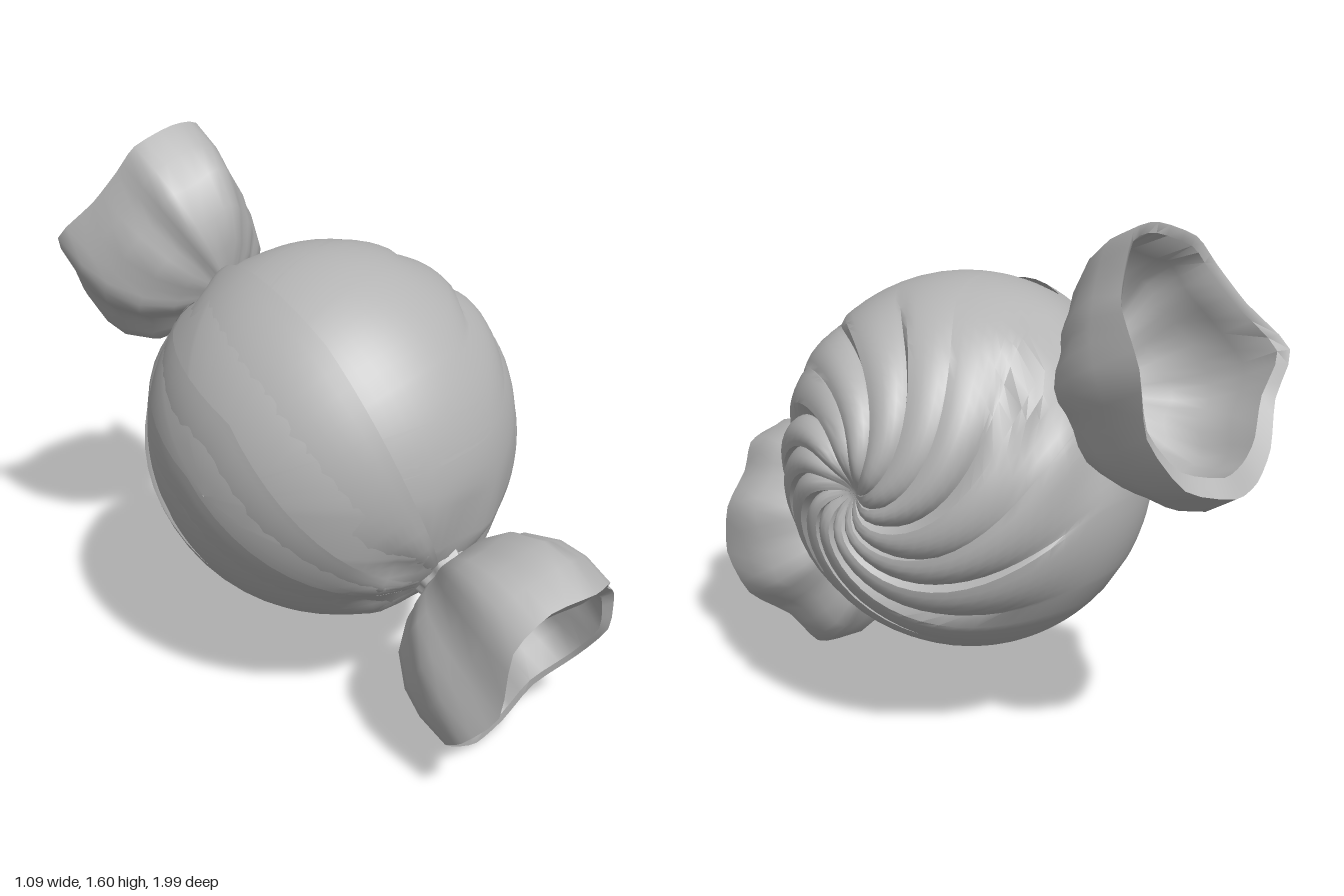
import * as THREE from 'three';
import { toCreasedNormals } from 'three/addons/utils/BufferGeometryUtils.js';

const CENTRE = new THREE.Vector3(0, 0.805, 0);
const RADII = new THREE.Vector3(0.535, 0.555, 0.555);
const KNOT = new THREE.Vector3(0, -0.56, 0.83).normalize(); // from centre to front knot
const UP = new THREE.Vector3(0, 0.83, 0.56).normalize();    // square to the knot axis

// Surface from a grid of points; rows run outward, columns anticlockwise
function gridGeometry(rows, cols, closed, point) {
  const pos = [], idx = [], n = closed ? cols : cols + 1;
  for (let i = 0; i <= rows; i++)
    for (let j = 0; j < n; j++) pos.push(...point(i, j).toArray());
  for (let i = 0; i < rows; i++)
    for (let j = 0; j < cols; j++) {
      const k = (j + 1) % n;
      const a = i * n + j, b = (i + 1) * n + j, c = (i + 1) * n + k, d = i * n + k;
      idx.push(a, b, c, a, c, d);
    }
  const g = new THREE.BufferGeometry();
  g.setAttribute('position', new THREE.Float32BufferAttribute(pos, 3));
  g.setIndex(idx);
  g.computeVertexNormals();
  return g;
}

// Point on the ball in a direction, with soft gathers around both knots
function onBall(dir, lift) {
  const lon = Math.atan2(dir.dot(UP), -dir.x);
  const away = Math.acos(Math.min(1, Math.abs(dir.dot(KNOT))));
  const gather = 0.012 * Math.cos(6 * lon + Math.sin(2 * lon))
    * Math.exp(-(((away - 0.38) / 0.14) ** 2));
  return dir.clone().multiply(RADII).multiplyScalar(1 + (lift + gather) / 0.55).add(CENTRE);
}

// Ball whose wrapper is twisted into overlapping spiral pleats on the +x side
function ballGeometry() {
  const arms = 13, steps = [0, 0.08, 0.2, 0.35, 0.5, 0.66, 0.82, 0.97];
  const axis = new THREE.Vector3(0.54, 0.025, -0.06).normalize();
  const e2 = new THREE.Vector3(0, 1, 0).addScaledVector(axis, -axis.y).normalize();
  const e1 = e2.clone().cross(axis);
  return gridGeometry(44, arms * steps.length, true, (i, j) => {
    const theta = 0.004 + (Math.PI - 0.008) * Math.pow(i / 44, 1.2);
    const arm = Math.floor(j / steps.length), t = steps[j % steps.length];
    const wobble = Math.sin(arm * 2.4);
    const phi = (arm + t) / arms * Math.PI * 2
      + 1.9 * Math.sin(Math.min(theta, Math.PI / 2)) + 0.08 * wobble * theta;
    const reach = 1.35 + 0.2 * Math.sin(arm * 1.7);
    const fade = THREE.MathUtils.smoothstep(theta, 0.02, 0.3)
      * (1 - THREE.MathUtils.smoothstep(theta, 0.65, reach));
    const pleat = Math.sin(Math.pow(t, 0.8) * 2.3) - 0.75;
    const lift = (0.032 + 0.008 * wobble) * fade * pleat
      - 0.06 * Math.exp(-((theta / 0.13) ** 2));
    const dir = axis.clone().multiplyScalar(Math.cos(theta))
      .addScaledVector(e1, Math.sin(theta) * Math.cos(phi))
      .addScaledVector(e2, Math.sin(theta) * Math.sin(phi));
    return onBall(dir, lift);
  });
}

// Overlapping fold running from knot to knot across the -x side
function flapGeometry(top, bottom, bend) {
  return gridGeometry(24, 10, false, (i, j) => {
    const v = i / 24, s = j / 10;
    const colat = 0.16 + v * (Math.PI - 0.32);
    const mid = Math.sin(colat);
    const lon = THREE.MathUtils.degToRad(
      THREE.MathUtils.lerp(bottom, top, s) + bend * (0.6 - Math.abs(1 - 2 * v)));
    const dir = KNOT.clone().multiplyScalar(Math.cos(colat))
      .addScaledVector(UP, mid * Math.sin(lon));
    dir.x -= mid * Math.cos(lon);
    return onBall(dir, mid * (-0.02 + 0.036 * Math.pow(s, 0.8)) - 0.002);
  });
}

// Rim corners of the wrapper ends as [x, up, along the knot axis]
const FRONT_RIM = [
  [0.02, 0.39, 0.4], [-0.12, 0.36, 0.38], [-0.21, 0.25, 0.39], [-0.24, 0.08, 0.47],
  [-0.28, -0.06, 0.44], [-0.24, -0.17, 0.39], [-0.13, -0.28, 0.38], [0, -0.36, 0.38],
  [0.12, -0.345, 0.365], [0.2, -0.23, 0.35], [0.31, -0.12, 0.37], [0.33, 0.03, 0.39],
  [0.3, 0.17, 0.35], [0.19, 0.27, 0.36], [0.12, 0.36, 0.38],
];
const BACK_RIM = [
  [0, 0.39, 0.4], [-0.12, 0.37, 0.38], [-0.21, 0.3, 0.38], [-0.28, 0.18, 0.39],
  [-0.34, 0.07, 0.44], [-0.27, -0.08, 0.41], [-0.22, -0.2, 0.4], [-0.17, -0.28, 0.41],
  [-0.05, -0.335, 0.41], [0.05, -0.325, 0.41], [0.13, -0.2, 0.39], [0.2, -0.13, 0.43],
  [0.26, 0.02, 0.48], [0.23, 0.18, 0.4], [0.14, 0.33, 0.38],
];
// Spread and distance from the knot: out to the rim, then back down the lining
const OUTSIDE = [[0.3, -0.04], [0.25, 0.015], [0.5, 0.045], [0.75, 0.105], [0.93, 0.2], [1, 0.29], [1, 0.4]];
const LINING = [[0.93, 0.385], [0.9, 0.29], [0.82, 0.2], [0.61, 0.12], [0.33, 0.065], [0.02, 0.045]];

// Flared, wavy end of the wrapper, its upper lip curled inward
function tailGeometry(corners) {
  const cols = 45, rimRow = OUTSIDE.length - 1;
  const rows = [...OUTSIDE, ...LINING];
  const curve = new THREE.CatmullRomCurve3(
    corners.map((p) => new THREE.Vector3(...p)), true, 'catmullrom', 0.35);
  const knot = new THREE.Vector3(0, 0.5, 0.46);
  const axis = new THREE.Vector3(0, -0.47, 0.88), up = new THREE.Vector3(0, 0.88, 0.47);
  return gridGeometry(rows.length - 1, cols, true, (i, j) => {
    const rim = curve.getPoint(j / cols);
    const [reach, height] = rows[i];
    const rise = Math.max(0, height / 0.4);
    const along = height * THREE.MathUtils.lerp(1, rim.z / 0.4, rise);
    const crimp = 0.08 * (1 - rise) * Math.cos(j / cols * Math.PI * 18);
    const curl = i > rimRow ? 0.09 * rise * Math.max(0, rim.y / 0.39) : 0;
    const spread = reach * (1 + crimp) - curl;
    const p = knot.clone().addScaledVector(axis, along).addScaledVector(up, rim.y * spread);
    p.x += rim.x * spread;
    return p;
  });
}

export function createModel() {
  const wrapper = new THREE.MeshStandardMaterial({ color: 0xb4b4b4, side: THREE.DoubleSide });
  wrapper.name = 'grey wrapper';
  const model = new THREE.Group();
  model.name = 'wrappedCandy';
  const add = (name, geometry) => {
    const mesh = new THREE.Mesh(geometry, wrapper);
    mesh.name = name;
    model.add(mesh);
    return mesh;
  };

  add('candyBall', toCreasedNormals(ballGeometry(), 0.6));

  // Folds on the -x side, each tucked under the next
  [[58, 10, 4], [16, -10, 16], [-6, -36, 14], [-30, -66, 8]].forEach(([top, bottom, bend], i) =>
    add(`wrapperFold${i + 1}`, flapGeometry(top, bottom, bend)));

  // The back end points the other way, turned half way round
  add('frontTail', toCreasedNormals(tailGeometry(FRONT_RIM), 0.9));
  const back = add('backTail', toCreasedNormals(tailGeometry(BACK_RIM), 0.9));
  back.rotation.x = Math.PI;
  back.position.y = 1.61;
  return model;
}
